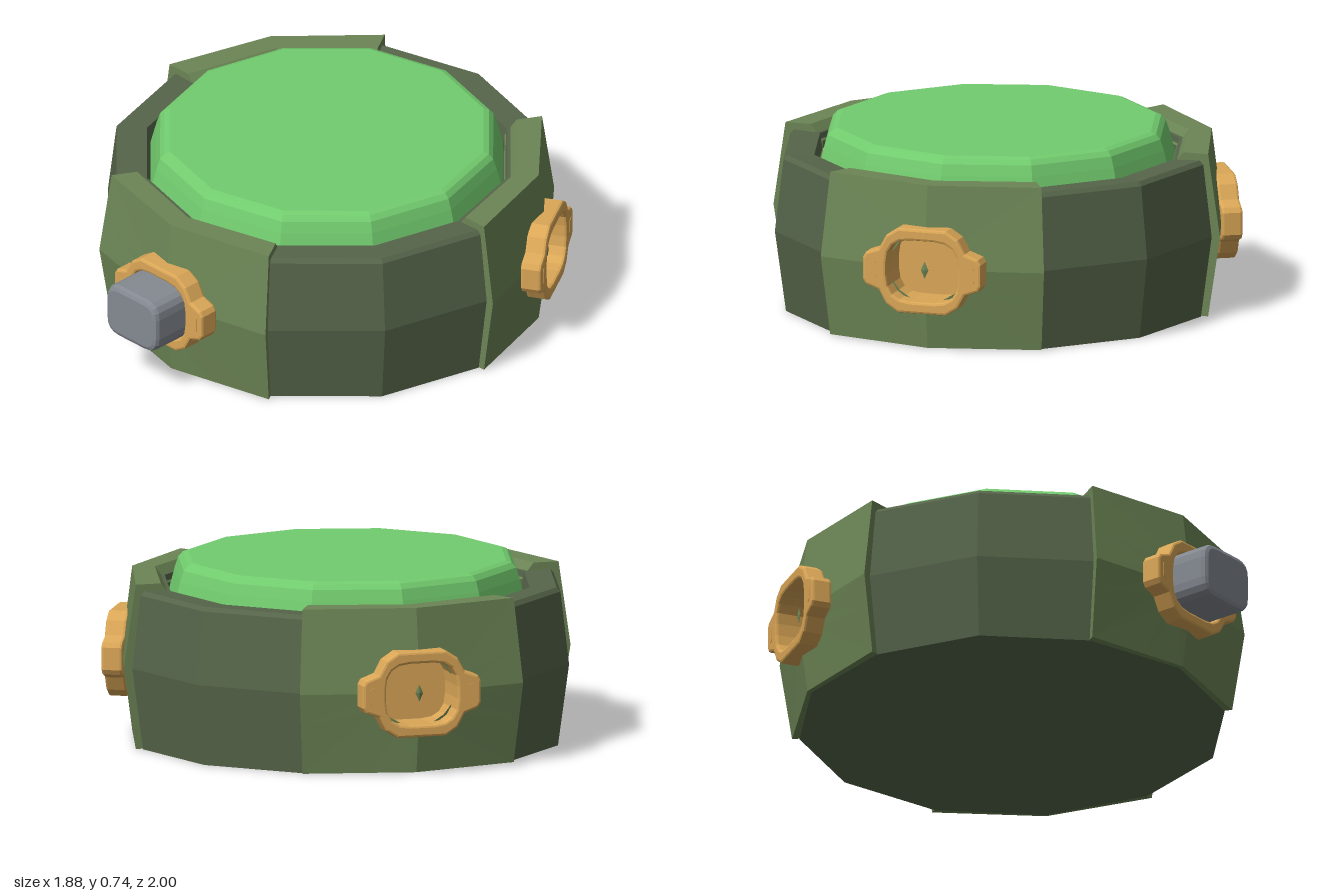
import * as THREE from 'three';

const mat = (name, color, opts = {}) => {
  const m = new THREE.MeshStandardMaterial({ color, ...opts });
  m.name = name;
  return m;
};
const DEG = Math.PI / 180;
const MID = 0.328; // height of the widest line

function mesh(name, geometry, material, parent) {
  const m = new THREE.Mesh(geometry, material);
  m.name = name;
  parent.add(m);
  return m;
}

// twelve-sided faceted revolve (or a slice of it)
function revolve(profile, start = 0, sweep = 360) {
  const pts = profile.map(([r, y]) => new THREE.Vector2(r, y));
  const g = new THREE.LatheGeometry(pts, Math.round(sweep / 30), start * DEG, sweep * DEG).toNonIndexed();
  g.computeVertexNormals();
  return g;
}

function roundedRect(a, b, r, C = THREE.Shape) {
  const s = new C();
  s.moveTo(-a + r, -b);
  s.lineTo(a - r, -b);
  s.quadraticCurveTo(a, -b, a, -b + r);
  s.lineTo(a, b - r);
  s.quadraticCurveTo(a, b, a - r, b);
  s.lineTo(-a + r, b);
  s.quadraticCurveTo(-a, b, -a, b - r);
  s.lineTo(-a, -b + r);
  s.quadraticCurveTo(-a, -b, -a + r, -b);
  return s;
}

function extrude(shape, depth, bevel = 0) {
  return new THREE.ExtrudeGeometry(shape, {
    depth: depth - 2 * bevel, curveSegments: 4, bevelEnabled: bevel > 0,
    bevelSize: bevel, bevelThickness: bevel, bevelOffset: -bevel, bevelSegments: 2,
  }).translate(0, 0, bevel);
}

// armour panel spanning two facets, with an opening in its middle
function panelGeometry() {
  const pos = [];
  const tri = (...p) => p.forEach((q) => pos.push(...q));
  const quad = (a, b, c, d) => tri(a, b, c, a, c, d);
  // u runs -1..1 across the panel; the centre ridge sits a little closer in
  const at = (u, rMid, rEnd, y) => {
    const k = Math.abs(u);
    return [u * rEnd * 0.5, y, rMid * (1 - k) + rEnd * Math.cos(30 * DEG) * k];
  };
  const outer = (u, v) => {
    const k = Math.abs(v);
    const y = v > 0 ? MID + v * (0.665 - MID) : MID + v * (MID - 0.003);
    return at(u, 0.915 - 0.043 * k, 0.935 - 0.05 * k, y);
  };
  // outer face: ring from the opening to the rectangular edge
  const N = 16;
  const ring = (i) => {
    const c = Math.cos((i / N) * 2 * Math.PI), s = Math.sin((i / N) * 2 * Math.PI);
    const m = Math.max(Math.abs(c), Math.abs(s));
    return [outer(0.35 * c, 0.42 * s), outer(c / m, s / m)];
  };
  for (let i = 0; i < N; i++) {
    const [h0, o0] = ring(i), [h1, o1] = ring(i + 1);
    quad(h0, o0, o1, h1);
  }
  // top lip and underside
  const section = (u) => [
    at(u, 0.7, 0.7, 0.003), outer(u, -1), outer(u, 0), outer(u, 1),
    at(u, 0.78, 0.78, 0.665), at(u, 0.73, 0.73, 0.6),
  ];
  for (const u of [-1, 0]) {
    const A = section(u), B = section(u + 1);
    for (const i of [0, 3, 4]) quad(A[i], B[i], B[i + 1], A[i + 1]);
  }
  // end caps
  const L = section(-1), R = section(1);
  for (let i = 1; i < 5; i++) {
    tri(L[0], L[i], L[i + 1]);
    tri(R[0], R[i + 1], R[i]);
  }
  const g = new THREE.BufferGeometry();
  g.setAttribute('position', new THREE.Float32BufferAttribute(pos, 3));
  g.computeVertexNormals();
  return g;
}

// socket flange outline with two ears
function flangeShape() {
  const q = [[0.247, 0.045], [0.235, 0.065], [0.18, 0.085], [0.15, 0.14], [0.1, 0.172]];
  const half = [...q, ...q.map(([x, y]) => [-x, y]).reverse()];
  const all = [...half, ...half.map(([x, y]) => [-x, -y])];
  const s = new THREE.Shape(all.map(([x, y]) => new THREE.Vector2(x, y)));
  s.holes.push(roundedRect(0.15, 0.125, 0.1, THREE.Path));
  return s;
}

export function createModel() {
  const bodyMat = mat('dark olive', 0x56654a, { side: THREE.DoubleSide });
  const panelMat = mat('olive green', 0x6c8555);
  const topMat = mat('bright green', 0x72cc6e);
  const brassMat = mat('brass', 0xdba757);
  const steelMat = mat('steel grey', 0x858a92);

  const model = new THREE.Group();
  model.name = 'model';
  const hull = new THREE.Group();
  hull.name = 'hull';
  hull.position.set(-0.008, 0, -0.1);
  model.add(hull);

  // base plate, top rim and bright lid
  mesh('basePlate', revolve([[0, 0], [0.855, 0]]), bodyMat, hull);
  mesh('topRim', revolve([[0.865, 0.62], [0.85, 0.637], [0.74, 0.632], [0.73, 0.57]]), bodyMat, hull);
  mesh('lid', revolve([[0.725, 0.57], [0.7, 0.665], [0.685, 0.71], [0.667, 0.73], [0.645, 0.738], [0, 0.738]]), topMat, hull);

  const panelGeo = panelGeometry();
  const flangeGeo = extrude(flangeShape(), 0.085, 0.01);
  const sleeve = roundedRect(0.162, 0.137, 0.11);
  sleeve.holes.push(roundedRect(0.15, 0.125, 0.1, THREE.Path));
  const sleeveGeo = extrude(sleeve, 0.14);
  const floorGeo = extrude(roundedRect(0.16, 0.135, 0.11), 0.01);
  const slotGeo = extrude(roundedRect(0.013, 0.035, 0.012), 0.005);

  for (const angle of [0, 120, 240]) {
    // exposed wall between panels
    mesh('bodyWall', revolve([[0.855, 0], [0.9, MID], [0.865, 0.62]], angle + 30, 60), bodyMat, hull);

    const side = new THREE.Group();
    side.name = 'panelAssembly';
    side.rotation.y = angle * DEG;
    hull.add(side);
    mesh('panel', panelGeo, panelMat, side);

    // socket: flange, recessed sleeve and floor
    const socket = new THREE.Group();
    socket.name = 'socket';
    socket.position.y = MID;
    side.add(socket);
    mesh('socketFlange', flangeGeo, brassMat, socket).position.z = 0.863;
    mesh('socketSleeve', sleeveGeo, brassMat, socket).position.z = 0.775;
    mesh('socketFloor', floorGeo, brassMat, socket).position.z = 0.77;
    for (const s of [-1, 1]) {
      mesh('earSlot', slotGeo, brassMat, socket).position.set(s * 0.205, 0, 0.945);
    }

    if (angle === 0) {
      // steel plug in the front socket
      mesh('plug', extrude(roundedRect(0.142, 0.114, 0.07), 0.32, 0.02), steelMat, socket).position.z = 0.78;
    } else {
      // small diamond stud inside the open sockets
      const stud = mesh('diamondStud', new THREE.OctahedronGeometry(1), panelMat, socket);
      stud.scale.set(0.016, 0.035, 0.006);
      stud.position.z = 0.908;
    }
  }
  return model;
}
